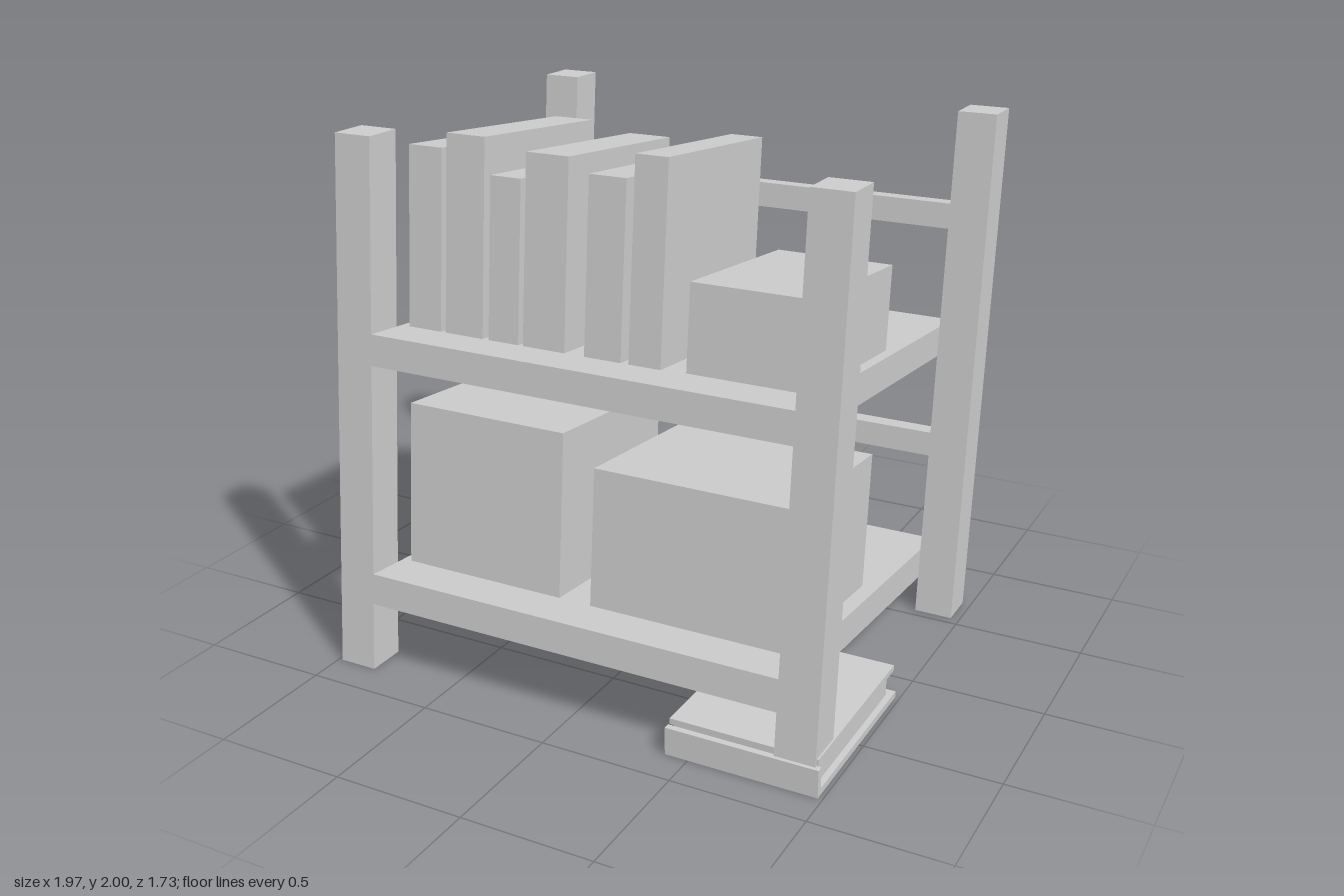
import * as THREE from 'three';

const material = new THREE.MeshStandardMaterial({ color: 0xcccccc, flatShading: true });
const TILT = THREE.MathUtils.degToRad(5);

// Box given by its extents along x, y and z
function box(name, [x0, x1], [y0, y1], [z0, z1]) {
  const geometry = new THREE.BoxGeometry(x1 - x0, y1 - y0, z1 - z0);
  geometry.translate((x0 + x1) / 2, (y0 + y1) / 2, (z0 + z1) / 2);
  const mesh = new THREE.Mesh(geometry, material);
  mesh.name = name;
  return mesh;
}

// Leaning post with level ends: a box sheared backwards with height
function leg(name, x, z, bottom) {
  const mesh = box(name, [x - 0.075, x + 0.075], [bottom, 2], [z - 0.075, z + 0.075]);
  const p = mesh.geometry.attributes.position;
  for (let i = 0; i < p.count; i++) p.setZ(i, p.getZ(i) - p.getY(i) * Math.tan(TILT));
  mesh.geometry.computeVertexNormals();
  return mesh;
}

export function createModel() {
  const model = new THREE.Group();
  model.name = 'leaningBookRack';

  // Four legs; the front left one rests on the floor book
  model.add(
    leg('frontLeftLeg', 0.89, 0.785, 0.105),
    leg('frontRightLeg', -0.91, 0.785, 0),
    leg('backLeftLeg', 0.89, -0.615, 0),
    leg('backRightLeg', -0.91, -0.615, 0),
  );

  // Everything between the legs leans back with them
  const rack = new THREE.Group();
  rack.name = 'tiltedRack';
  rack.rotation.x = -TILT;
  model.add(rack);

  const span = [-0.835, 0.815];
  const lowerTop = 0.309, upperTop = 1.228;
  rack.add(
    box('lowerShelf', span, [0.189, lowerTop], [-0.688, 0.857]),
    box('upperShelf', span, [1.111, upperTop], [-0.688, 0.857]),
    box('lowerBackRail', span, [0.685, 0.78], [-0.688, -0.6]),
    box('upperBackRail', span, [1.6, 1.697], [-0.688, -0.6]),
  );

  // Upright books: left edge, right edge, top
  const books = [
    [-0.8, -0.66, 1.893], [-0.64, -0.48, 1.948], [-0.455, -0.33, 1.818],
    [-0.31, -0.14, 1.913], [-0.06, 0.085, 1.863], [0.115, 0.24, 1.948],
  ];
  for (const [x0, x1, top] of books) {
    rack.add(box('uprightBook', [x0, x1], [upperTop, top], [-0.055, 0.676]));
  }

  // Storage boxes
  rack.add(
    box('smallBox', [0.33, 0.775], [upperTop, 1.543], [-0.056, 0.661]),
    box('tallBox', [-0.8, -0.14], [lowerTop, 0.935], [-0.053, 0.67]),
    box('wideBox', [-0.01, 0.755], [lowerTop, 0.83], [-0.053, 0.671]),
  );

  // Book lying under the front left leg
  const floorBook = new THREE.Group();
  floorBook.name = 'floorBook';
  floorBook.add(
    box('bottomCover', [0.412, 0.983], [0, 0.025], [0.14, 0.865]),
    box('spine', [0.412, 0.983], [0, 0.105], [0.84, 0.865]),
    box('pages', [0.435, 0.96], [0.025, 0.108], [0.18, 0.84]),
    box('topCover', [0.418, 0.972], [0.108, 0.13], [0.14, 0.84]),
  );
  model.add(floorBook);

  return model;
}
